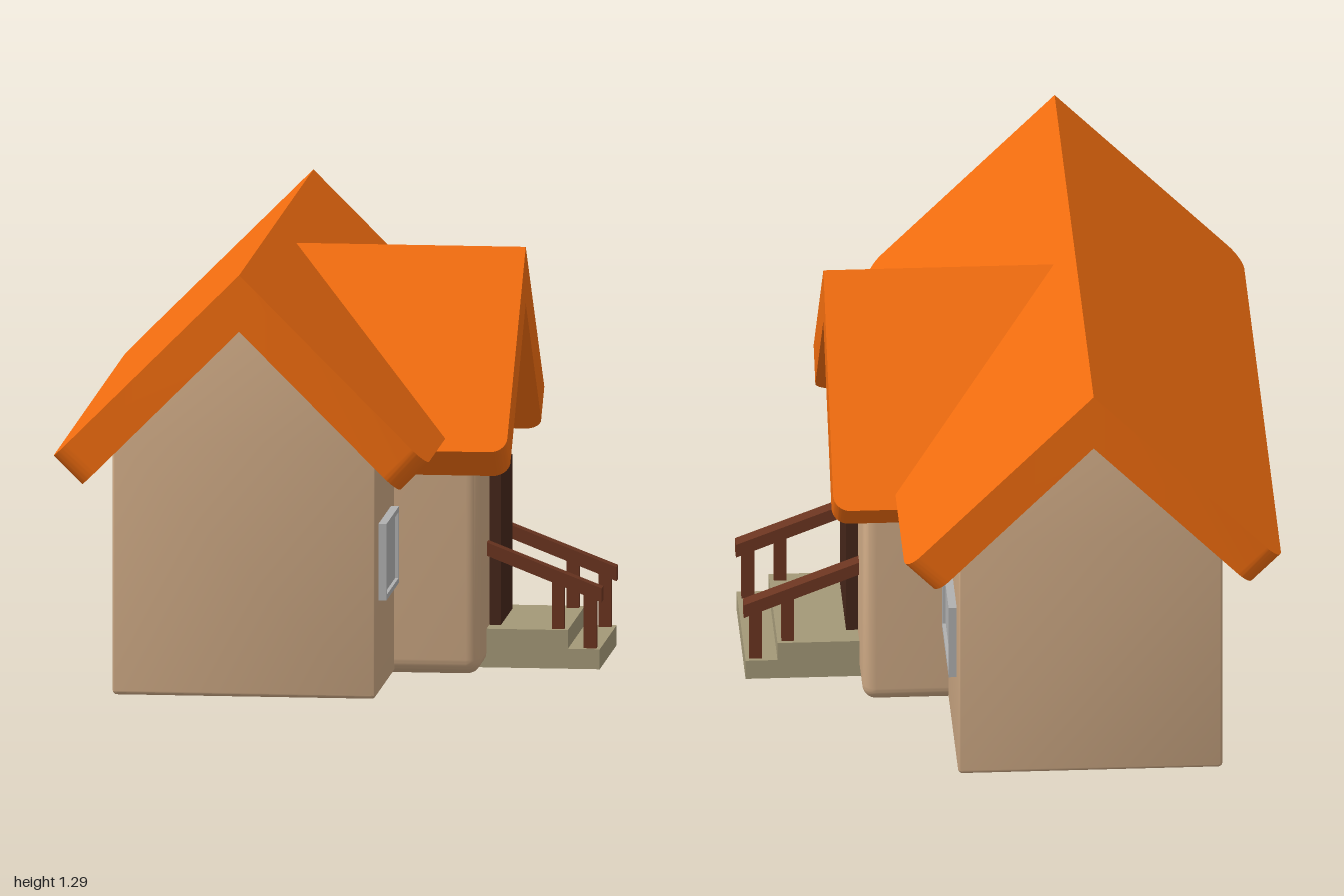
import * as THREE from 'three';
import { toCreasedNormals } from 'three/addons/utils/BufferGeometryUtils.js';

const mat = (color) => new THREE.MeshStandardMaterial({ color });
const WALL = mat(0xcaa682), ROOF = mat(0xf06c0f), STONE = mat(0xa39877);
const WOOD = mat(0x6b3520), DOOR = mat(0x45261a), GREY = mat(0xb0b0b0);

function add(parent, name, geometry, material) {
  const mesh = new THREE.Mesh(geometry, material);
  mesh.name = name;
  parent.add(mesh);
  return mesh;
}

// Box given by its limits on each axis
function box(parent, name, [x0, x1], [y0, y1], [z0, z1], material) {
  const mesh = add(parent, name, new THREE.BoxGeometry(x1 - x0, y1 - y0, z1 - z0), material);
  mesh.position.set((x0 + x1) / 2, (y0 + y1) / 2, (z0 + z1) / 2);
  return mesh;
}

// Gabled wall block: pentagon along local z, rounded by r at base and ends
function gableBody(half, base, apex, z0, z1, r) {
  const c = r * 1.15, eave = apex - half;
  const s = new THREE.Shape();
  s.moveTo(-half + c, base);
  s.lineTo(half - c, base);
  s.absarc(half - c, base + c, c, -Math.PI / 2, 0);
  s.lineTo(half, eave);
  s.lineTo(0, apex);
  s.lineTo(-half, eave);
  s.lineTo(-half, base + c);
  s.absarc(-half + c, base + c, c, Math.PI, Math.PI * 1.5);
  const g = new THREE.ExtrudeGeometry(s, {
    depth: z1 - z0 - 2 * r, bevelThickness: r, bevelSize: r, bevelOffset: -r, bevelSegments: 5, curveSegments: 6,
  });
  g.translate(0, 0, z0 + r);
  return toCreasedNormals(g, 0.6);
}

// One 45 degree roof slab, mitred at the ridge, with rounded eave corners
function roofSlab(side, run, thick, z0, z1, r0, r1) {
  const L = run * Math.SQRT2, k = Math.SQRT1_2;
  if (side < 0) [z0, z1, r0, r1] = [-z1, -z0, r1, r0];
  const s = new THREE.Shape();
  s.moveTo(0, z0);
  s.lineTo(L - r0, z0);
  if (r0) s.absarc(L - r0, z0 + r0, r0, -Math.PI / 2, 0);
  s.lineTo(L, z1 - r1);
  if (r1) s.absarc(L - r1, z1 - r1, r1, 0, Math.PI / 2);
  s.lineTo(0, z1);
  const g = new THREE.ExtrudeGeometry(s, { depth: thick, bevelEnabled: false, curveSegments: 8 });
  const p = g.attributes.position;
  for (let i = 0; i < p.count; i++) {
    const w = p.getZ(i), v = p.getY(i);
    const u = p.getX(i) < 1e-5 ? w : p.getX(i);
    p.setXYZ(i, side * (u - w) * k, -(u + w) * k, side * v);
  }
  g.computeVertexNormals();
  return toCreasedNormals(g, 0.6);
}

function roof(name, run, thick, z0, z1, r0, r1) {
  const group = new THREE.Group();
  group.name = name;
  for (const side of [1, -1]) add(group, 'roofSlope', roofSlab(side, run, thick, z0, z1, r0, r1), ROOF);
  return group;
}

function makeWindow(z) {
  const g = new THREE.Group();
  g.name = 'window';
  const w = 0.17, h = 0.115, b = 0.016;
  const frame = new THREE.Shape([[-w, -h], [w, -h], [w, h], [-w, h]].map((q) => new THREE.Vector2(...q)));
  const a = w - b, c = h - b;
  frame.holes.push(new THREE.Path([[-a, -c], [-a, c], [a, c], [a, -c]].map((q) => new THREE.Vector2(...q))));
  add(g, 'windowFrame', new THREE.ExtrudeGeometry(frame, { depth: 0.03, bevelEnabled: false }), GREY);
  box(g, 'windowPane', [-a, a], [-c, c], [0, 0.02], GREY);
  g.rotation.y = Math.PI / 2;
  g.position.set(0.172, 0.41, z);
  return g;
}

function railing(z) {
  const g = new THREE.Group();
  g.name = 'railing';
  const bar = new THREE.Shape([[0.43, 0.335], [0.43, 0.375], [0.775, 0.242], [0.775, 0.2]]
    .map((q) => new THREE.Vector2(...q)));
  const rail = add(g, 'handrail', new THREE.ExtrudeGeometry(bar, { depth: 0.046, bevelEnabled: false }), WOOD);
  rail.position.z = -0.023;
  box(g, 'upperPost', [0.625, 0.662], [0.11, 0.268], [-0.014, 0.014], WOOD);
  box(g, 'lowerPost', [0.72, 0.758], [0.055, 0.232], [-0.014, 0.014], WOOD);
  g.position.z = z;
  return g;
}

export function createModel() {
  const model = new THREE.Group();
  model.name = 'cottage';

  // Main house
  const main = add(model, 'mainWalls', gableBody(0.393, 0.01, 1.17, -0.922, 0.918, 0.012), WALL);
  main.position.x = -0.215;
  const mainRoof = roof('mainRoof', 0.56, 0.12, -1, 1, 0.065, 0.065);
  mainRoof.position.set(-0.22, 1.29, 0);
  model.add(mainRoof);

  // Entrance wing, ridge turned towards +x
  const wing = add(model, 'entranceWalls', gableBody(0.423, 0.006, 1.11, -0.32, 0.432, 0.04), WALL);
  wing.rotation.y = Math.PI / 2;
  wing.position.z = -0.005;
  const wingRoof = roof('entranceRoof', 0.533, 0.12, -0.16, 0.525, 0, 0.05);
  wingRoof.rotation.y = Math.PI / 2;
  wingRoof.position.set(0, 1.23, 0.003);
  model.add(wingRoof);

  // Door, windows, steps and railings
  box(model, 'door', [0.38, 0.467], [0.1, 0.58], [-0.16, 0.147], DOOR);
  for (const z of [0.67, -0.675]) model.add(makeWindow(z));
  box(model, 'lowerStep', [0.285, 0.77], [0, 0.06], [-0.235, 0.222], STONE);
  box(model, 'upperStep', [0.285, 0.675], [0.06, 0.116], [-0.235, 0.222], STONE);
  for (const z of [0.192, -0.208]) model.add(railing(z));
  return model;
}
